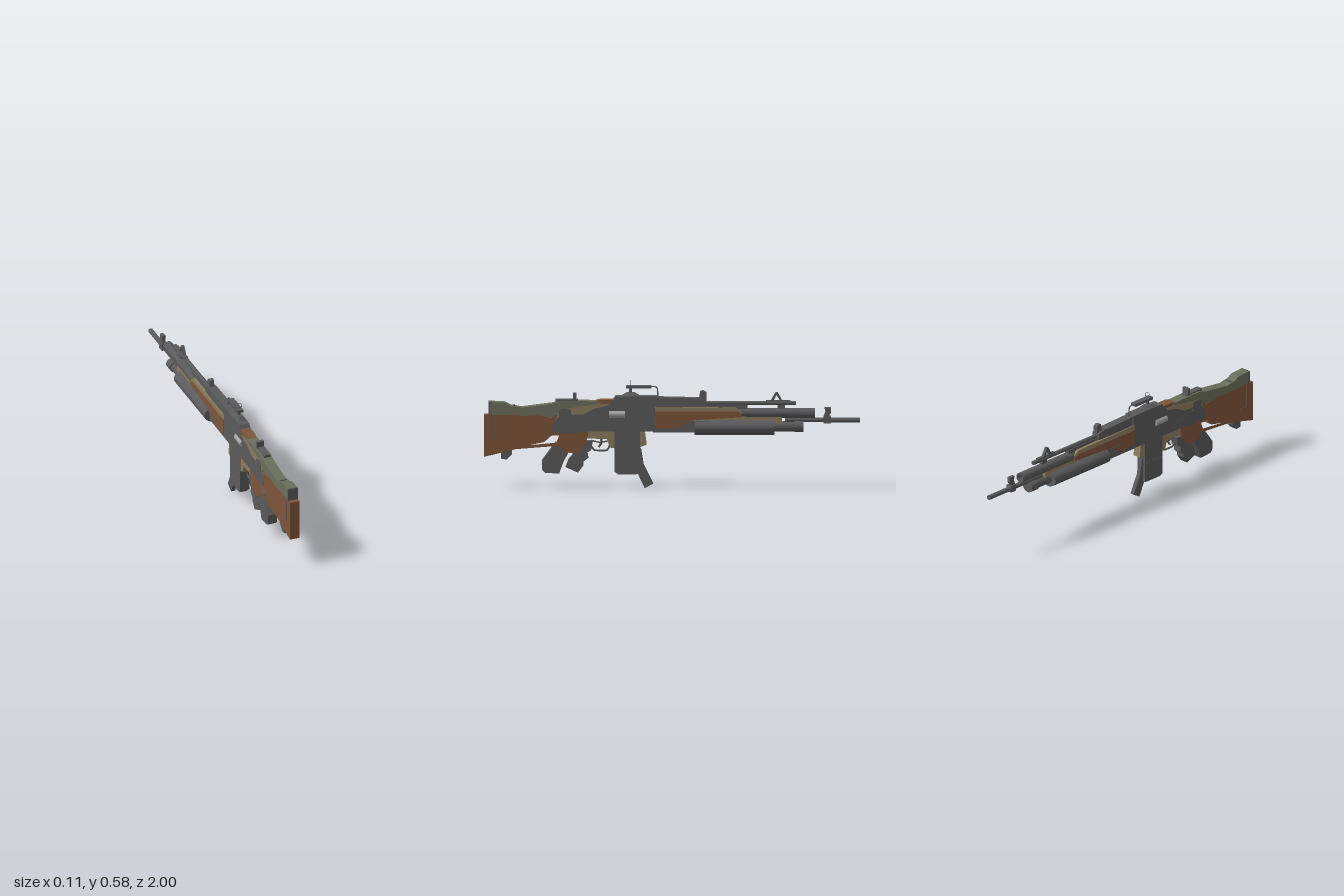
import * as THREE from 'three';

const mat = (name, color) => {
  const m = new THREE.MeshStandardMaterial({ color });
  m.name = name;
  return m;
};

export function createModel() {
  const steel = mat('dark steel', 0x5a5a5c);
  const wood = mat('brown wood', 0x7e5539);
  const green = mat('olive green', 0x6a6f5a);
  const tan = mat('tan', 0x8c7d5e);
  const bright = mat('bright steel', 0xa3a3a3);
  const model = new THREE.Group();

  const add = (name, geo, m) => {
    const mesh = new THREE.Mesh(geo, m);
    mesh.name = name;
    model.add(mesh);
    return mesh;
  };
  // Side outline of [z, y] points, extruded to half width w around x
  const plate = (name, pts, w, m, hole, x = 0) => {
    const shape = new THREE.Shape(pts.map(p => new THREE.Vector2(...p)));
    if (hole) shape.holes.push(new THREE.Path(hole.map(p => new THREE.Vector2(...p))));
    const g = new THREE.ExtrudeGeometry(shape, { depth: 2 * w, bevelEnabled: false });
    g.rotateY(-Math.PI / 2).translate(w + x, 0, 0);
    return add(name, g, m);
  };
  // Box spanning z0..z1 and y0..y1
  const box = (name, z0, z1, y0, y1, w, m, x = 0) => {
    const g = new THREE.BoxGeometry(2 * w, y1 - y0, z1 - z0);
    g.translate(x, (y0 + y1) / 2, (z0 + z1) / 2);
    return add(name, g, m);
  };
  // Cylinder along z, optionally elliptical
  const rod = (name, z0, z1, y, rx, m, ry = rx) => {
    const g = new THREE.CylinderGeometry(1, 1, z1 - z0, 28);
    g.rotateX(Math.PI / 2).scale(rx, ry, 1).translate(0, y, (z0 + z1) / 2);
    return add(name, g, m);
  };
  const wire = (name, pts, r, m) => {
    const curve = new THREE.CatmullRomCurve3(pts.map(([z, y]) => new THREE.Vector3(0, y, z)), false, 'catmullrom', 0.2);
    return add(name, new THREE.TubeGeometry(curve, 24, r, 8), m);
  };

  // Stock
  plate('stock', [[1, .4], [1, .175], [.83, .217], [.6, .235], [.575, .2], [.5, .195], [.46, .24], [.44, .32],
    [.5, .4], [.62, .4], [.64, .385], [.72, .4], [.78, .395], [.84, .4]], .028, wood,
    [[.76, .238], [.615, .252], [.6, .29], [.64, .29], [.68, .255]]);
  plate('stockComb', [[.965, .47], [.89, .466], [.86, .45], [.8, .44], [.63, .462], [.6, .475], [.45, .475],
    [.37, .472], [.42, .44], [.55, .41], [.62, .385], [.73, .4], [.78, .38], [.85, .395], [.965, .395]], .0275, green);
  box('buttCap', .965, .975, .395, .47, .028, steel);
  box('combSeam', .835, .842, .44, .452, .02, steel);
  for (const s of [-1, 1]) {
    box('stockGroove', .95, .957, .27, .395, .001, steel, s * .0285);
    box('stockGrooveLower', .9, .957, .265, .27, .001, steel, s * .0285);
  }
  plate('slingPeg', [[.91, .21], [.91, .165], [.88, .16], [.85, .19], [.85, .22]], .022, steel);

  // Receiver
  plate('receiver', [[.3, .5], [.08, .5], [.08, .312], [.46, .312], [.53, .3], [.63, .305], [.64, .33],
    [.61, .385], [.57, .4], [.47, .405], [.41, .435], [.34, .452], [.31, .485]], .029, steel);
  plate('receiverTopBrown', [[.41, .473], [.38, .482], [.3, .482], [.3, .45], [.36, .45]], .026, wood);
  plate('receiverTan', [[.62, .37], [.6, .42], [.56, .435], [.4, .46], [.32, .46], [.34, .4]], .0283, tan);
  for (const s of [-1, 1]) {
    plate('rearBump', [[.6, .385], [.6, .42], [.58, .435], [.54, .43], [.53, .385]], .002, steel, null, s * .029);
    for (const z of [.42, .45]) box('receiverPin', z, z + .008, .36, .368, .001, steel, s * .0295);
  }
  rod('ejectionPort', .25, .335, .404, .04, bright, .026);
  plate('lowerTan', [[.48, .315], [.3, .315], [.3, .22], [.33, .225], [.345, .27], [.46, .275]], .023, tan);
  plate('frontLowerTan', [[.18, .315], [.145, .315], [.135, .24], [.18, .225]], .023, tan);

  // Grips, trigger and guard
  plate('rearGrip', [[.62, .25], [.69, .155], [.69, .105], [.675, .09], [.6, .085], [.58, .14], [.53, .24], [.55, .26]], .026, steel);
  plate('frontGrip', [[.53, .26], [.42, .26], [.43, .21], [.45, .2], [.445, .17], [.47, .15], [.47, .13], [.5, .09],
    [.565, .12], [.55, .16], [.53, .18]], .024, steel);
  wire('triggerGuard', [[.43, .23], [.41, .208], [.35, .207], [.335, .225], [.32, .28]], .005, steel);
  wire('trigger', [[.38, .29], [.375, .25], [.39, .225]], .006, steel);
  wire('triggerBar', [[.43, .26], [.38, .25], [.33, .26]], .004, steel);

  // Magazines
  plate('magazine', [[.305, .32], [.305, .095], [.29, .085], [.17, .085], [.17, .32]], .028, steel);
  box('magazineLip', .19, .29, .08, .09, .022, steel);
  plate('spareMagazine', [[.19, .22], [.185, .09], [.145, .005], [.1, .03], [.15, .13], [.165, .22]], .012, steel);
  for (const s of [-1, 1]) box('magazineRib', .18, .3, .19, .196, .001, steel, s * .0285);

  // Handguard
  plate('handguard', [[.09, .42], [-.35, .42], [-.37, .41], [-.37, .39], [-.12, .375], [-.02, .33], [.09, .33]], .033, wood);
  plate('handguardTop', [[.09, .445], [-.34, .44], [-.37, .42], [-.37, .4], [.09, .4]], .03, tan);
  box('underPlate', -.2, .1, .308, .37, .026, steel);
  box('underRail', -.58, -.2, .36, .395, .02, tan);
  plate('upperRail', [[.08, .495], [-.14, .49], [-.18, .48], [-.18, .445], [.08, .44]], .024, steel);
  for (const s of [-1, 1]) {
    plate('handguardSlot', [[0, .365], [-.2, .365], [-.2, .37], [0, .37]], .001, steel, null, s * .0335);
  }

  // Lower launcher tube
  rod('launcherTube', -.545, -.12, .334, .055, steel, .043);
  rod('launcherNeck', -.66, -.53, .337, .027, steel);
  rod('launcherMuzzle', -.7, -.65, .337, .035, steel, .031);
  plate('launcherBracket', [[-.53, .39], [-.585, .39], [-.585, .35], [-.54, .34]], .02, tan);

  // Upper tube with an open muzzle
  const tube = new THREE.LatheGeometry([[0, -.7], [.02, -.7], [.02, -.76], [.027, -.76], [.027, -.2], [0, -.2]]
    .map(([r, z]) => new THREE.Vector2(r, z)), 28);
  // Facets keep the rim crisp
  const crisp = tube.toNonIndexed();
  crisp.rotateX(Math.PI / 2).translate(0, .409, 0);
  crisp.computeVertexNormals();
  steel.side = THREE.DoubleSide;
  add('upperTube', crisp, steel);
  rod('barrel', -1, -.6, .372, .013, steel);
  rod('gasTube', -.66, -.1, .462, .0115, steel);
  box('tubeSpacer', -.6, -.56, .42, .46, .008, steel);
  box('gasTubeSupport', -.4, -.15, .42, .455, .014, steel);

  // Sights
  box('frontSightBase', -.845, -.805, .355, .392, .016, steel);
  plate('frontSight', [[-.805, .39], [-.815, .415], [-.81, .44], [-.845, .44], [-.845, .41], [-.83, .39]], .009, steel);
  plate('tubeSight', [[-.52, .468], [-.55, .52], [-.562, .52], [-.59, .468]], .008, steel,
    [[-.54, .476], [-.555, .505], [-.575, .476]]);
  box('tubeSightBase', -.63, -.5, .468, .478, .008, steel);
  plate('middleSight', [[-.14, .47], [-.15, .525], [-.165, .53], [-.182, .52], [-.182, .47]], .012, steel);
  box('rearSightBase', .5, .62, .47, .483, .018, steel);
  box('rearSight', .508, .526, .475, .515, .02, steel);

  // Raised top sight with ring and wire
  const cap = new THREE.CylinderGeometry(.012 * Math.SQRT2, .027 * Math.SQRT2, .018, 4, 1);
  cap.rotateY(Math.PI / 4).scale(1, 1, 1.8).translate(0, .509, .22);
  add('topMount', cap, steel);
  box('topPost', .213, .228, .51, .545, .004, steel);
  box('topBar', .11, .245, .541, .556, .017, steel);
  const ring = new THREE.TorusGeometry(.019, .0012, 6, 36);
  ring.translate(0, .566, .22);
  add('sightRing', ring, steel);
  box('ringCrossBar', .219, .221, .56, .562, .019, steel);
  wire('topWire', [[.12, .55], [.09, .55], [.078, .54], [.075, .49]], .0035, steel);

  return model;
}
